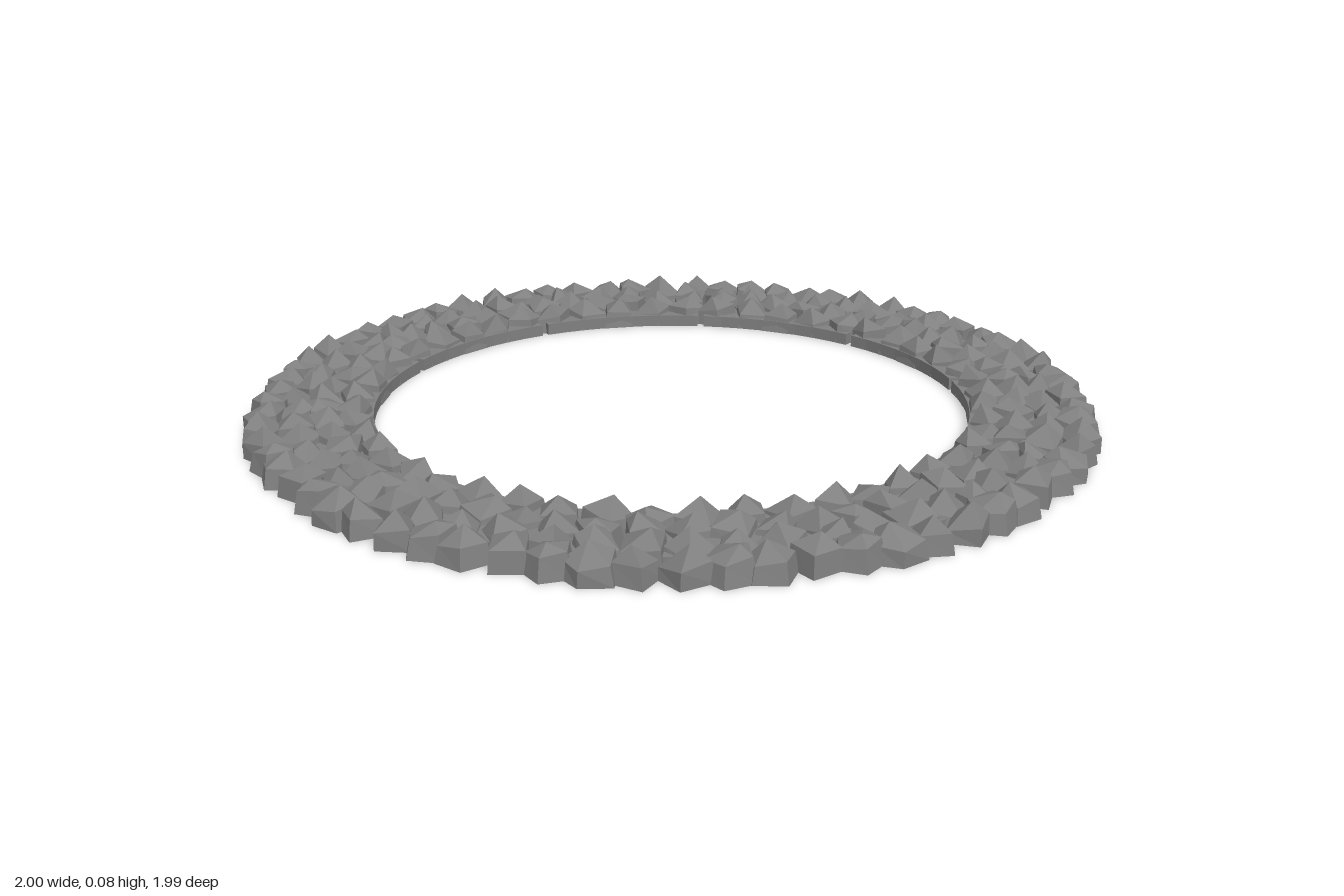
import * as THREE from 'three';
import { mergeGeometries } from 'three/addons/utils/BufferGeometryUtils.js';

const SEGMENTS = 10;
const STEP = (Math.PI * 2) / SEGMENTS;
const INNER = 0.7, OUTER = 1.0, HEIGHT = 0.08;

// Rows of stones: radius of the row, stones per segment
const ROWS = [[0.735, 5], [0.805, 6], [0.875, 6], [0.942, 7]];

function seeded(seed) {
  let s = seed;
  return (lo, hi) => {
    s = (s * 16807) % 2147483647;
    return lo + (hi - lo) * (s / 2147483647);
  };
}

// One rough-cut stone: steep sides, a crooked shoulder and a pointed top
function stone(rand, radius, angle, size) {
  const shoulder = rand(0.035, 0.05);
  const top = rand(0.068, HEIGHT);
  const geo = new THREE.LatheGeometry([
    new THREE.Vector2(0, 0),
    new THREE.Vector2(size, 0),
    new THREE.Vector2(size * rand(0.8, 0.92), shoulder),
    new THREE.Vector2(0, top),
  ], rand(0, 1) < 0.7 ? 4 : 5);
  geo.rotateY(rand(0, Math.PI));
  const lean = [rand(-0.018, 0.018), rand(-0.018, 0.018)];
  const tilt = [rand(-0.2, 0.2), rand(-0.2, 0.2)];
  const cx = Math.cos(angle) * radius, cz = Math.sin(angle) * radius;
  const p = geo.attributes.position;
  for (let i = 0; i < p.count; i++) {
    let x = p.getX(i), y = p.getY(i), z = p.getZ(i);
    if (y > 0.06) { x += lean[0]; z += lean[1]; }
    else if (y > 0) y += x * tilt[0] + z * tilt[1];
    x += cx;
    z += cz;
    // Dress the stone to the smooth inner face and the outer limit
    const r = Math.hypot(x, z);
    const limit = THREE.MathUtils.clamp(r, INNER + y * 0.15, OUTER);
    p.setXYZ(i, (x * limit) / r, y, (z * limit) / r);
  }
  return geo;
}

// Low bed that fills the gaps between the stones of one segment
function bed() {
  const half = STEP / 2 - 0.012;
  const shape = new THREE.Shape();
  shape.absarc(0, 0, 0.91, -half * 0.94, half * 0.94, false);
  shape.absarc(0, 0, INNER + 0.002, half, -half, true);
  const geo = new THREE.ExtrudeGeometry(shape, { depth: 0.03, bevelEnabled: false, curveSegments: 4 });
  geo.rotateX(-Math.PI / 2);
  return geo;
}

function segmentGeometry(seed) {
  const rand = seeded(seed);
  const parts = [bed()];
  for (const [radius, count] of ROWS) {
    const margin = 0.045 / radius;
    const span = STEP - margin * 2;
    for (let i = 0; i < count; i++) {
      const angle = -STEP / 2 + margin + (span * i) / (count - 1) + rand(-0.008, 0.008);
      parts.push(stone(rand, radius + rand(-0.012, 0.012), angle, rand(0.053, 0.064)));
    }
  }
  return mergeGeometries(parts.map((g) => (g.index ? g.toNonIndexed() : g)));
}

export function createModel() {
  const model = new THREE.Group();
  model.name = 'stoneRing';
  const material = new THREE.MeshStandardMaterial({ color: 0x808080, flatShading: true });
  const geometry = segmentGeometry(4711);

  // The same curved segment repeated around the ring
  for (let i = 0; i < SEGMENTS; i++) {
    const segment = new THREE.Mesh(geometry, material);
    segment.name = `stoneSegment${i + 1}`;
    segment.rotation.y = (i + 0.5) * STEP;
    model.add(segment);
  }
  return model;
}
